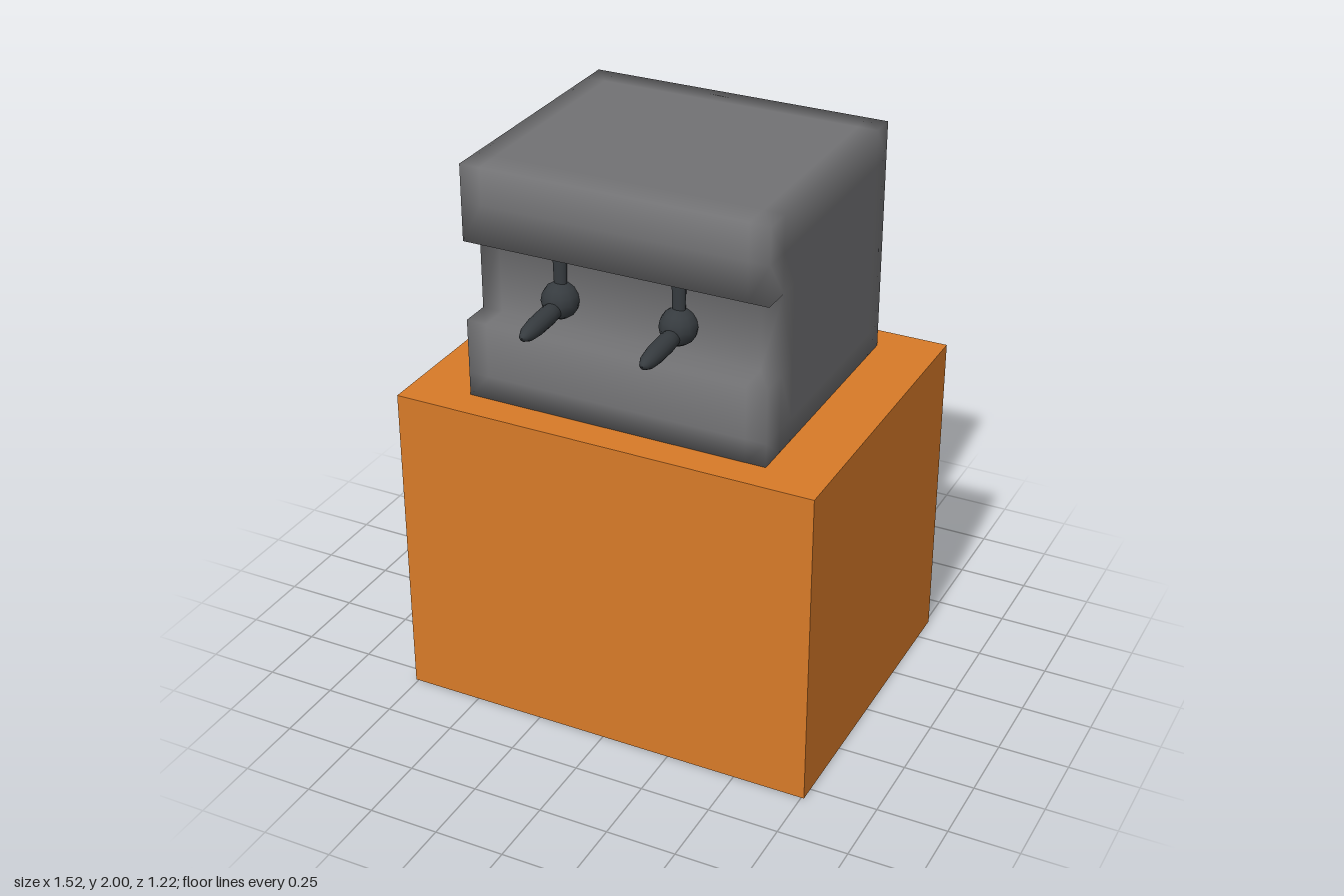
import * as THREE from 'three';
import { mergeVertices } from 'three/addons/utils/BufferGeometryUtils.js';

// Skin of the solid cells in an uneven grid, with shared vertices for soft shading
function cellSolid(grid, isSolid) {
  const pos = [];
  const n = grid.map(a => a.length - 1);
  const solid = c => c.every((v, k) => v >= 0 && v < n[k]) && isSolid(c);
  for (let i = 0; i < n[0]; i++) for (let j = 0; j < n[1]; j++) for (let k = 0; k < n[2]; k++) {
    const cell = [i, j, k];
    if (!solid(cell)) continue;
    for (let axis = 0; axis < 3; axis++) for (const side of [0, 1]) {
      const next = cell.slice();
      next[axis] += side ? 1 : -1;
      if (solid(next)) continue;
      const u = (axis + 1) % 3, v = (axis + 2) % 3;
      const corner = (a, b) => {
        const c = cell.slice();
        c[axis] += side; c[u] += a; c[v] += b;
        return c.map((index, d) => grid[d][index]);
      };
      const q = [corner(0, 0), corner(1, 0), corner(1, 1), corner(0, 1)];
      if (!side) q.reverse();
      for (const m of [0, 1, 2, 0, 2, 3]) pos.push(...q[m]);
    }
  }
  let geo = new THREE.BufferGeometry();
  geo.setAttribute('position', new THREE.Float32BufferAttribute(pos, 3));
  geo = mergeVertices(geo);
  geo.computeVertexNormals();
  return geo;
}

export function createModel() {
  const model = new THREE.Group();
  const orange = new THREE.MeshStandardMaterial({ color: 0xd87a28 });
  const grey = new THREE.MeshStandardMaterial({ color: 0x727274 });
  const dark = new THREE.MeshStandardMaterial({ color: 0x363b3f });
  const add = (parent, name, geo, mat, x = 0, y = 0, z = 0) => {
    const mesh = new THREE.Mesh(geo, mat);
    mesh.name = name;
    mesh.position.set(x, y, z);
    parent.add(mesh);
    return mesh;
  };

  // Large lower block
  add(model, 'body', new THREE.BoxGeometry(1.52, 1.165, 1.165), orange, 0, 0.5825, -0.0275);

  // Upper block with a full-width slot across the front
  const xs = [-0.543, -0.47, 0.47, 0.543];
  const ys = [1.165, 1.25, 1.445, 1.73, 1.87, 2];
  const zs = [-0.5, -0.41, 0.25, 0.335, 0.44];
  add(model, 'head', cellSolid([xs, ys, zs], ([, j, k]) => !(j === 2 && k === 3)), grey);

  // Eyes hanging in the slot, each with a forward-pointing rod
  for (const [name, x] of [['rightEye', -0.235], ['leftEye', 0.193]]) {
    const eye = new THREE.Group();
    eye.name = name;
    eye.position.set(x, 1.55, 0.355);
    add(eye, 'eyeBall', new THREE.SphereGeometry(0.065, 12, 8), dark);
    const stalk = add(eye, 'eyeStalk', new THREE.CylinderGeometry(0.026, 0.022, 0.15, 12), dark, 0, 0.112, -0.002);
    stalk.scale.z = 0.75;
    const profile = [[0, 0], [0.028, 0], [0.033, 0.07], [0.032, 0.15], [0.026, 0.2], [0.014, 0.228], [0, 0.235]];
    const rod = add(eye, 'eyeRod',
      new THREE.LatheGeometry(profile.map(p => new THREE.Vector2(...p)), 16), dark, 0, -0.017, 0.02);
    rod.rotation.x = Math.PI / 2 + 0.04;
    model.add(eye);
  }
  return model;
}
